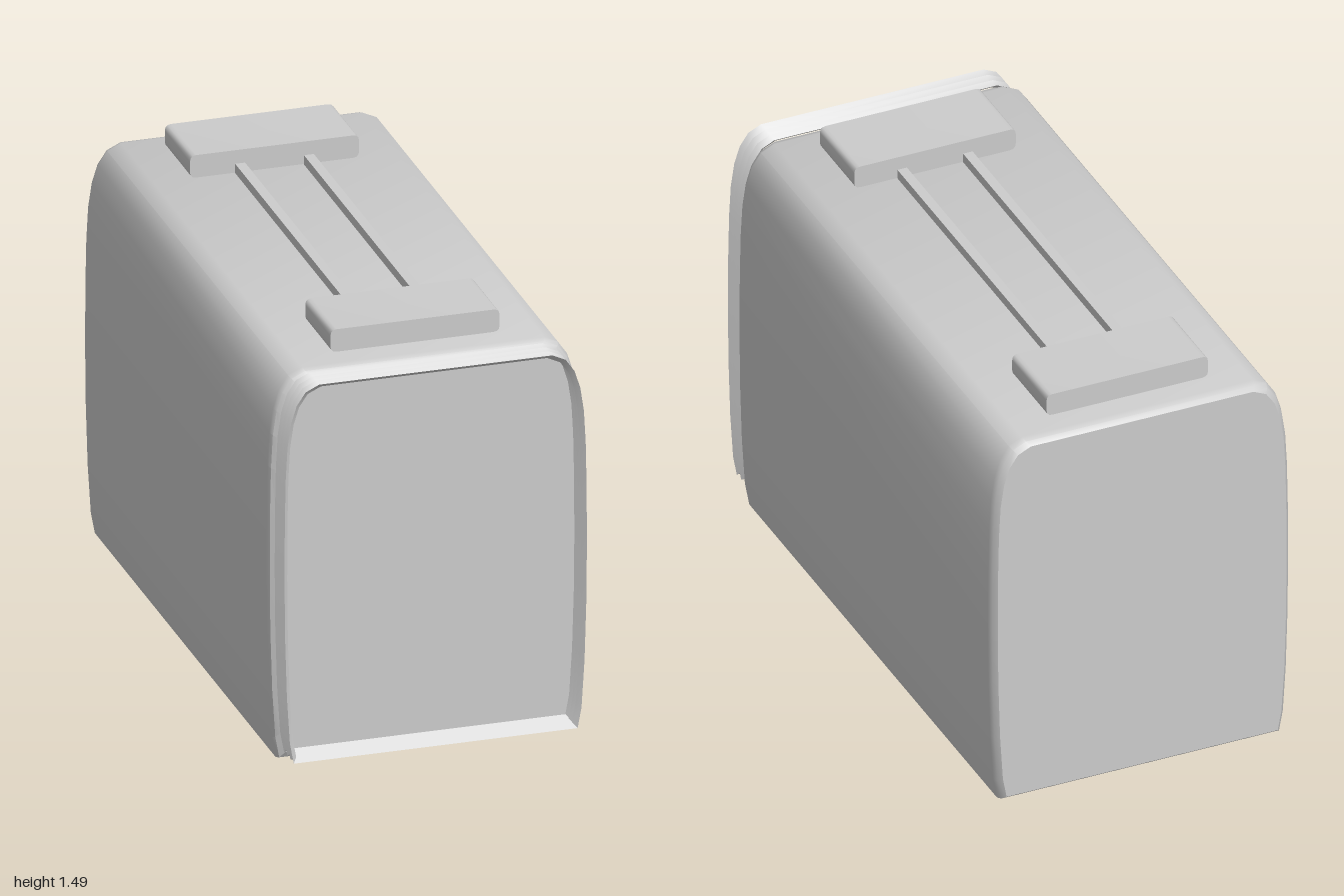
import * as THREE from 'three';
import { toCreasedNormals } from 'three/addons/utils/BufferGeometryUtils.js';

// Right half of the case outline, bottom to top
const HALF = [[0.475, 0.12], [0.488, 0.19], [0.498, 0.35], [0.504, 0.55], [0.506, 0.75], [0.505, 0.95],
  [0.502, 1.1], [0.496, 1.21], [0.484, 1.29], [0.465, 1.35], [0.435, 1.393], [0.39, 1.414]];
const OUTLINE = [...HALF, ...HALF.map(([x, y]) => [-x, y]).reverse()];
const MID = 0.767;

// Outline shrunk by d towards its centre and raised by lift
const ring = (d, lift = 0) => OUTLINE.map(([x, y]) =>
  [x * (1 - d / 0.505), MID + (y - MID) * (1 - d / 0.645) + lift]);

// Skin through rings given as [z, inset, lift], ordered from back to front
function loft(sections) {
  const pos = [], idx = [], n = OUTLINE.length;
  for (const [z, d, lift] of sections) for (const [x, y] of ring(d, lift)) pos.push(x, y, z);
  for (let s = 0; s < sections.length - 1; s++) {
    for (let i = 0; i < n; i++) {
      const a = s * n + i, b = s * n + (i + 1) % n;
      idx.push(a, b, b + n, a, b + n, a + n);
    }
  }
  const g = new THREE.BufferGeometry();
  g.setAttribute('position', new THREE.Float32BufferAttribute(pos, 3));
  g.setIndex(idx);
  return toCreasedNormals(g, 0.6);
}

const panel = (d, lift) => new THREE.ShapeGeometry(
  new THREE.Shape(ring(d, lift).map(([x, y]) => new THREE.Vector2(x, y))));

export function createModel() {
  const root = new THREE.Group();
  root.name = 'suitcase';
  const grey = new THREE.MeshStandardMaterial({ color: 0xcccccc, side: THREE.DoubleSide });
  grey.name = 'light grey';

  const add = (name, geometry, x = 0, y = 0, z = 0) => {
    const m = new THREE.Mesh(geometry, grey);
    m.name = name;
    m.position.set(x, y, z);
    root.add(m);
    return m;
  };

  // Main shell with softened ends
  add('shell', loft([[-1, 0.018, 0], [-0.985, 0.006, 0], [-0.965, 0, 0], [0.87, 0, 0],
    [0.888, 0.006, 0], [0.9, 0.022, 0.004]]));
  add('backPanel', panel(0.018, 0).rotateY(Math.PI), 0, 0, -1);

  // Pleated collar, open at the front, with a recessed panel behind it
  const pleats = [];
  for (let i = 0; i <= 6; i++) pleats.push([0.9 + i / 60, i % 2 ? 0.032 : 0.018, 0.011]);
  add('pleatedCollar', loft(pleats));
  add('frontPanel', panel(0.022, 0.008), 0, 0, 0.902);

  // Two grips with rounded long edges
  const w = 0.273, h = 0.0375, r = 0.02;
  const grip = new THREE.Shape();
  grip.moveTo(-w + r, -h);
  grip.lineTo(w - r, -h).quadraticCurveTo(w, -h, w, -h + r);
  grip.lineTo(w, h - r).quadraticCurveTo(w, h, w - r, h);
  grip.lineTo(-w + r, h).quadraticCurveTo(-w, h, -w, h - r);
  grip.lineTo(-w, -h + r).quadraticCurveTo(-w, -h, -w + r, -h);
  const gripGeo = toCreasedNormals(
    new THREE.ExtrudeGeometry(grip, { depth: 0.255, bevelEnabled: false, curveSegments: 3 }), 0.7);
  add('frontGrip', gripGeo, 0, 1.453, 0.535);
  add('backGrip', gripGeo, 0, 1.453, -0.89);

  // Twin rails joining the grips
  for (const s of [-1, 1])
    add(s > 0 ? 'leftRail' : 'rightRail', new THREE.BoxGeometry(0.032, 0.04, 1.2), s * 0.111, 1.425, -0.053);

  // Wheels on two axles, rounded on the outside
  const tyre = [[0, -0.03], [0.1, -0.028], [0.122, -0.02], [0.13, -0.012], [0.122, 0.005],
    [0.105, 0.022], [0.07, 0.028], [0, 0.028]].map(([a, b]) => new THREE.Vector2(a, b));
  const wheelGeo = toCreasedNormals(new THREE.LatheGeometry(tyre, 14), 0.7);
  for (const z of [0.33, -0.435]) {
    const end = z > 0 ? 'front' : 'back';
    add(end + 'Axle', new THREE.CylinderGeometry(0.014, 0.014, 0.76, 8), 0, 0.126, z).rotation.z = Math.PI / 2;
    for (const s of [-1, 1])
      add(end + (s > 0 ? 'Left' : 'Right') + 'Wheel', wheelGeo, s * 0.318, 0.13, z).rotation.z = -s * Math.PI / 2;
  }
  return root;
}
